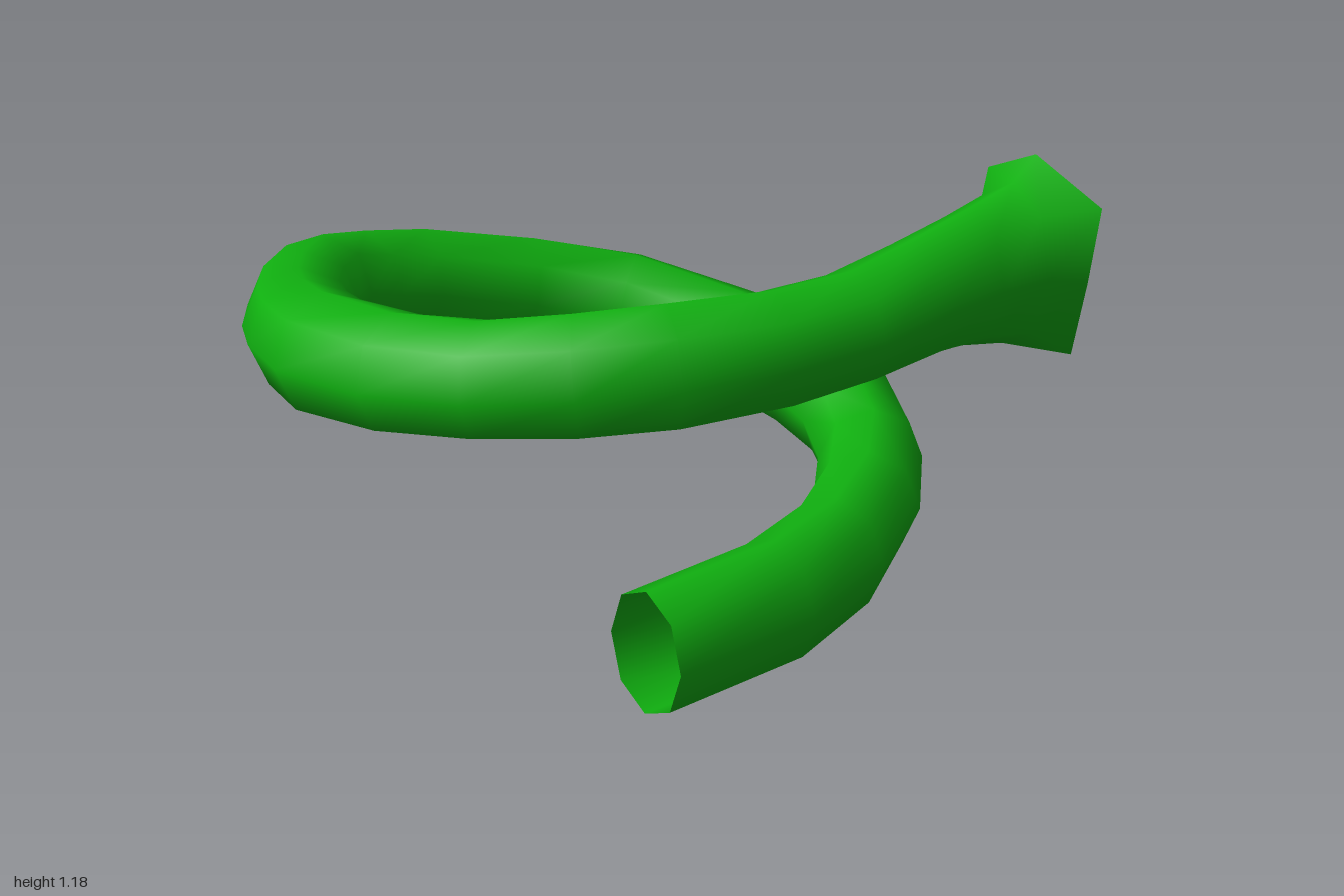
import * as THREE from 'three';

// Centre line of the tube: x, y, z, then half width and half height of its section
const stations = [
  [0.755, 0.18, 0.42, 0.135, 0.172],
  [0.755, 0.18, 0.0, 0.14, 0.175],
  [0.69, 0.195, -0.27, 0.14, 0.17],
  [0.555, 0.215, -0.51, 0.145, 0.16],
  [0.39, 0.235, -0.68, 0.145, 0.155],
  [0.2, 0.27, -0.775, 0.145, 0.155],
  [0.0, 0.3, -0.795, 0.145, 0.157],
  [-0.28, 0.345, -0.755, 0.155, 0.152],
  [-0.59, 0.4, -0.6, 0.16, 0.15],
  [-0.76, 0.46, -0.34, 0.165, 0.15],
  [-0.835, 0.545, 0.0, 0.165, 0.15],
  [-0.81, 0.595, 0.21, 0.165, 0.15],
  [-0.74, 0.645, 0.38, 0.155, 0.15],
  [-0.6, 0.675, 0.52, 0.155, 0.15],
  [-0.43, 0.71, 0.635, 0.155, 0.15],
  [-0.25, 0.755, 0.725, 0.155, 0.155],
  [-0.07, 0.785, 0.775, 0.155, 0.165],
  [0.18, 0.815, 0.735, 0.16, 0.155],
  [0.38, 0.84, 0.63, 0.16, 0.15],
  [0.55, 0.865, 0.47, 0.155, 0.16],
  [0.67, 0.88, 0.29, 0.145, 0.165],
  [0.755, 0.885, 0.03, 0.14, 0.155],
  [0.78, 0.89, -0.2, 0.135, 0.15],
  [0.78, 0.91, -0.42, 0.127, 0.165],
  [0.782, 0.922, -0.6, 0.13, 0.19],
  [0.788, 0.925, -0.74, 0.145, 0.222],
];

// Uneven flared mouth, eight corners in the same order as a tube ring
const mouth = [
  [0.6, 0.92], [0.6, 1.11], [0.76, 1.19], [0.99, 1.11],
  [0.965, 0.9], [0.93, 0.69], [0.79, 0.66], [0.64, 0.67],
];

function createTube() {
  const sides = 8;
  const positions = [];
  const indices = [];
  const centres = stations.map(([x, y, z]) => new THREE.Vector3(x, y, z));
  const up = new THREE.Vector3(0, 1, 0);
  const last = stations.length - 1;

  // Upright oval rings square to the centre line
  stations.forEach(([, , , a, b], i) => {
    const tangent = new THREE.Vector3().subVectors(
      centres[Math.min(i + 1, last)], centres[Math.max(i - 1, 0)]);
    if (i === 0 || i >= last - 1) tangent.set(0, 0, -1);
    tangent.normalize();
    const side = new THREE.Vector3().crossVectors(up, tangent).normalize();
    const rise = new THREE.Vector3().crossVectors(tangent, side);
    for (let j = 0; j < sides; j++) {
      const t = (j / sides) * Math.PI * 2;
      const p = centres[i].clone()
        .addScaledVector(side, a * Math.cos(t))
        .addScaledVector(rise, b * Math.sin(t));
      positions.push(p.x, p.y, p.z);
    }
  });
  mouth.forEach(([x, y]) => positions.push(x, y, -0.85));

  // Skin between neighbouring rings, outward facing, both ends open
  for (let i = 0; i <= last; i++) {
    for (let j = 0; j < sides; j++) {
      const k = (j + 1) % sides;
      const a = i * sides + j, b = i * sides + k;
      const c = a + sides, d = b + sides;
      indices.push(a, b, c, b, d, c);
    }
  }
  const geometry = new THREE.BufferGeometry();
  geometry.setAttribute('position', new THREE.Float32BufferAttribute(positions, 3));
  geometry.setIndex(indices);
  geometry.computeVertexNormals();
  return geometry;
}

export function createModel() {
  const group = new THREE.Group();
  group.name = 'coiledHorn';
  const material = new THREE.MeshStandardMaterial({ color: 0x10b010, side: THREE.DoubleSide });
  const tube = new THREE.Mesh(createTube(), material);
  tube.name = 'coiledTubeWithFlaredMouth';
  group.add(tube);
  return group;
}
